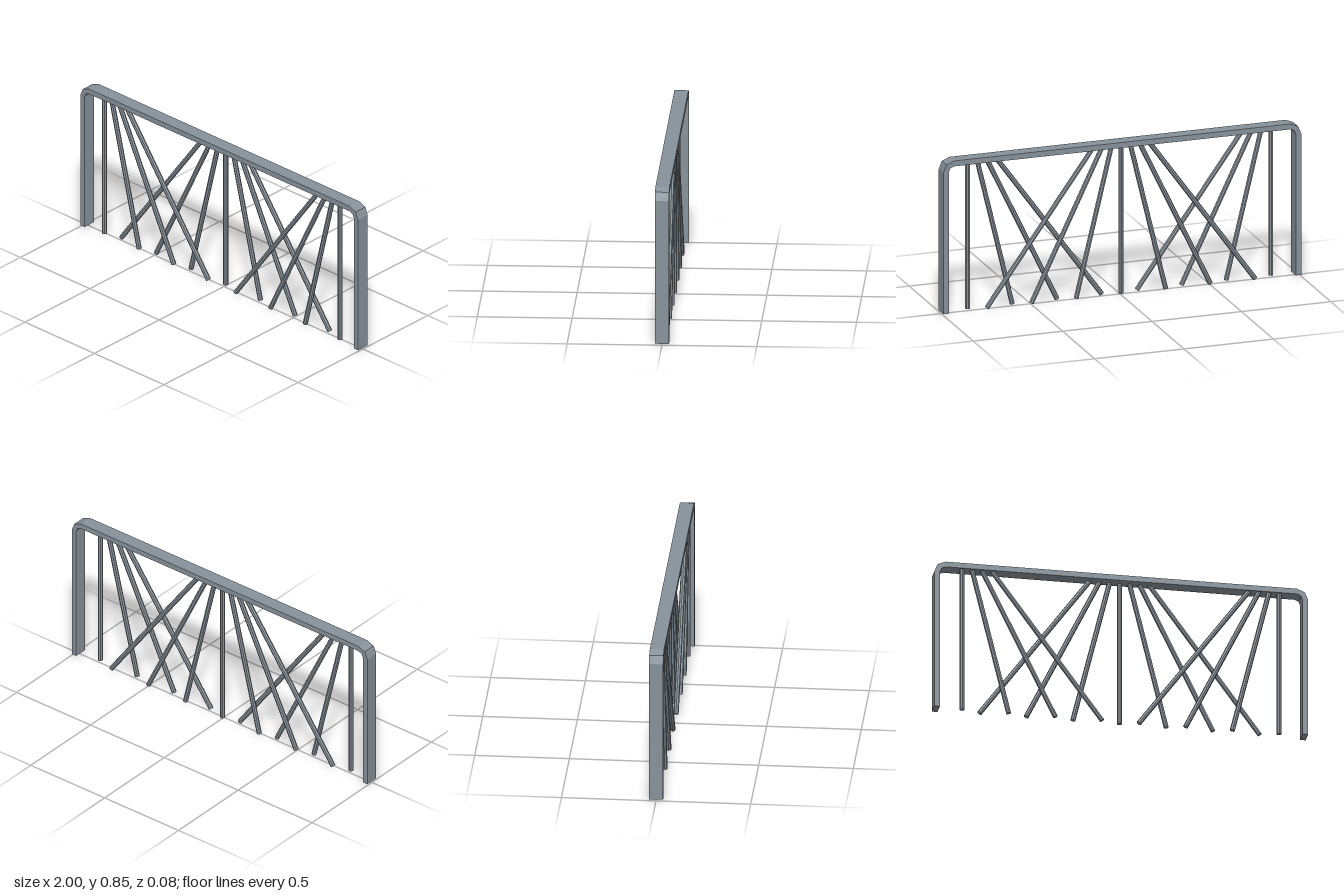
import * as THREE from 'three';

export function createModel() {
  const group = new THREE.Group();
  const steel = new THREE.MeshStandardMaterial({ color: 0x87929a, flatShading: true });
  steel.name = 'steelGrey';

  const base = 0.0085, top = 0.85, thick = 0.03, depth = 0.075;

  // Half of an arch outline with a two-step rounded corner, from foot to top
  const halfOutline = (x, y, r) => [
    [x, base],
    ...[0, 1, 2].map((i) => {
      const a = (i * Math.PI) / 4;
      return [x - r + r * Math.cos(a), y - r + r * Math.sin(a)];
    }),
  ];
  const arch = (x, y, r) => {
    const half = halfOutline(x, y, r);
    const mirrored = half.map(([px, py]) => [-px, py]).reverse();
    return [...half, ...mirrored];
  };

  // Flat-bar frame
  const outline = [...arch(1, top, 0.06), ...arch(1 - thick, top - thick, 0.03).reverse()];
  const shape = new THREE.Shape(outline.map(([x, y]) => new THREE.Vector2(x, y)));
  const frameGeometry = new THREE.ExtrudeGeometry(shape, { depth, bevelEnabled: false });
  frameGeometry.translate(0, 0, -depth / 2);
  const frame = new THREE.Mesh(frameGeometry, steel);
  frame.name = 'frame';
  group.add(frame);

  // Thin rods between the ground line and the underside of the frame
  const radius = 0.0135;
  const addRod = (parent, bottomX, topX, z) => {
    const a = new THREE.Vector3(bottomX, base, z);
    const b = new THREE.Vector3(topX, top - thick + 0.006, z);
    const dir = b.clone().sub(a);
    const rod = new THREE.Mesh(new THREE.CylinderGeometry(radius, radius, dir.length(), 8), steel);
    rod.position.copy(a).add(b).multiplyScalar(0.5);
    rod.quaternion.setFromUnitVectors(new THREE.Vector3(0, 1, 0), dir.normalize());
    rod.name = 'rod';
    parent.add(rod);
  };

  // Each fan spreads from a point on the top rail; the middle one lies behind
  const addFan = (name, x, from, to, z) => {
    const fan = new THREE.Group();
    fan.name = name;
    for (let i = from; i <= to; i++) addRod(fan, x + i * 0.25, x + i * 0.053, z);
    group.add(fan);
  };
  addFan('rightFan', -0.848, 0, 3, radius);
  addFan('middleFan', 0, -3, 3, -radius);
  addFan('leftFan', 0.848, -3, 0, radius);

  return group;
}
